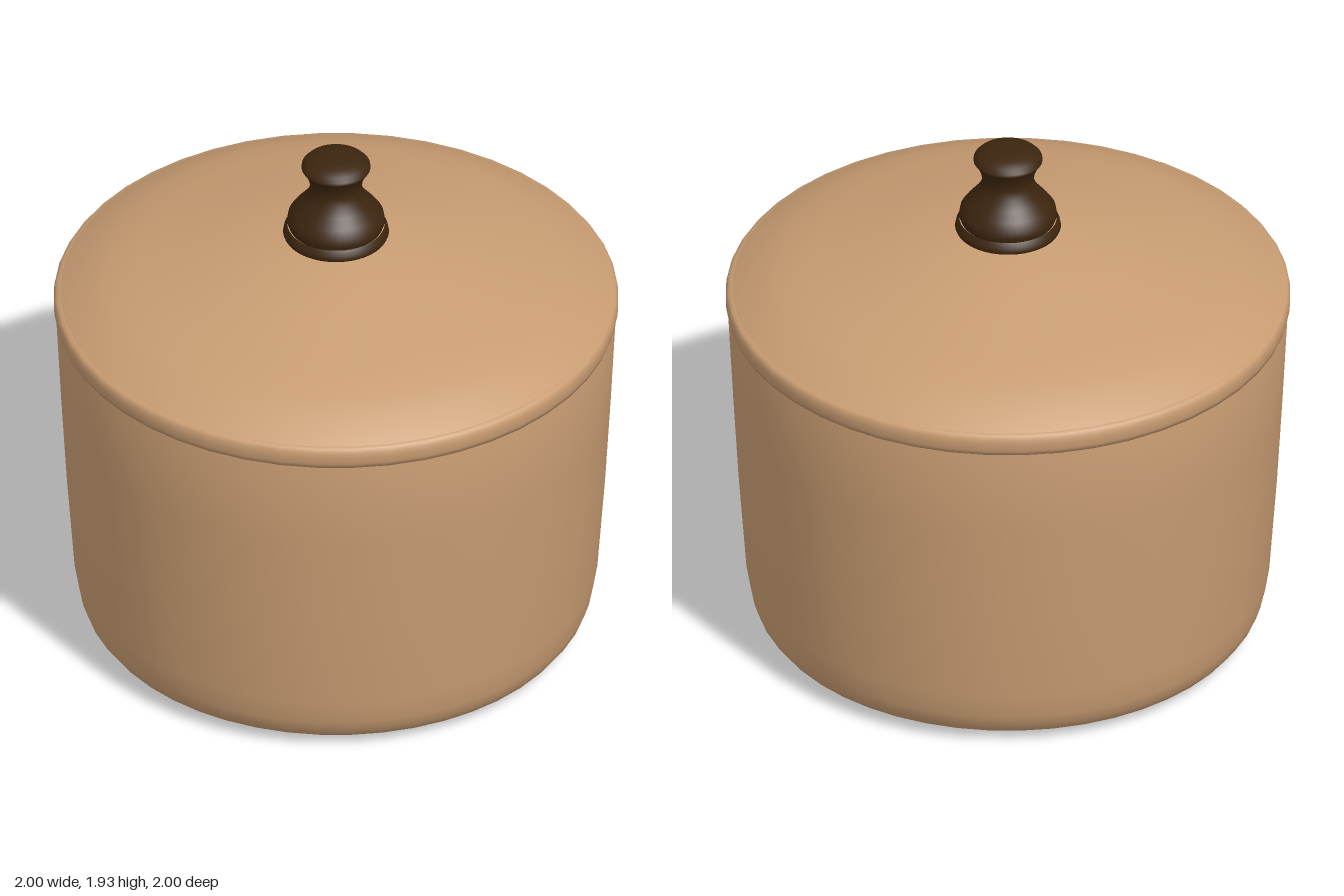
import * as THREE from 'three';

const SIDES = 48;

// Turned part from [radius, height] points, listed from bottom to top on the outside
function turned(name, points, material, sides = SIDES) {
  const profile = points.map(([r, y]) => new THREE.Vector2(r, y));
  const mesh = new THREE.Mesh(new THREE.LatheGeometry(profile, sides), material);
  mesh.name = name;
  return mesh;
}

export function createModel() {
  const clay = new THREE.MeshStandardMaterial({ color: 0xc89c72 });
  clay.name = 'tan clay';
  const wood = new THREE.MeshStandardMaterial({ color: 0x3c250f });
  wood.name = 'dark wood';

  const model = new THREE.Group();
  model.name = 'lidded pot';

  // Base, slightly domed downwards
  model.add(turned('potBase', [[0, 0], [0.4, 0.01], [0.78, 0.018]], clay));

  // Rounded foot, tapering wall, and the inside down to the floor
  model.add(turned('potBody', [
    [0.78, 0.018], [0.83, 0.027], [0.868, 0.048], [0.895, 0.085], [0.91, 0.13],
    [0.925, 0.22], [0.953, 0.6], [0.972, 0.93], [0.99, 1.28],
    [0.94, 1.28], [0.9, 0.6], [0.86, 0.16], [0.78, 0.08], [0, 0.07],
  ], clay));

  // Rim band around the mouth
  model.add(turned('rim', [
    [0.94, 1.276], [0.99, 1.276], [0.996, 1.295], [0.998, 1.32], [0.996, 1.34], [0.988, 1.352], [0.974, 1.356],
  ], clay));

  // Lid: curved shoulder, then a straight cone
  model.add(turned('lid', [
    [0.974, 1.356], [0.93, 1.383], [0.87, 1.414], [0.81, 1.441], [0.7, 1.475], [0.45, 1.539], [0.18, 1.605], [0, 1.605],
  ], clay));

  // Turned knob with base ring, bulb, waist and cap
  const knob = new THREE.Group();
  knob.name = 'knob';
  knob.add(
    turned('knobRing', [
      [0, 1.6], [0.182, 1.6], [0.187, 1.612], [0.184, 1.628], [0.172, 1.645],
    ], wood),
    turned('knobStem', [
      [0.166, 1.64], [0.173, 1.66], [0.169, 1.685], [0.15, 1.712], [0.122, 1.745], [0.1, 1.775],
      [0.091, 1.805], [0.095, 1.835], [0.106, 1.862], [0.122, 1.886],
    ], wood),
    turned('knobCap', [
      [0.122, 1.886], [0.121, 1.896], [0.108, 1.91], [0.08, 1.923], [0.045, 1.929], [0, 1.93],
    ], wood),
  );
  model.add(knob);

  return model;
}
